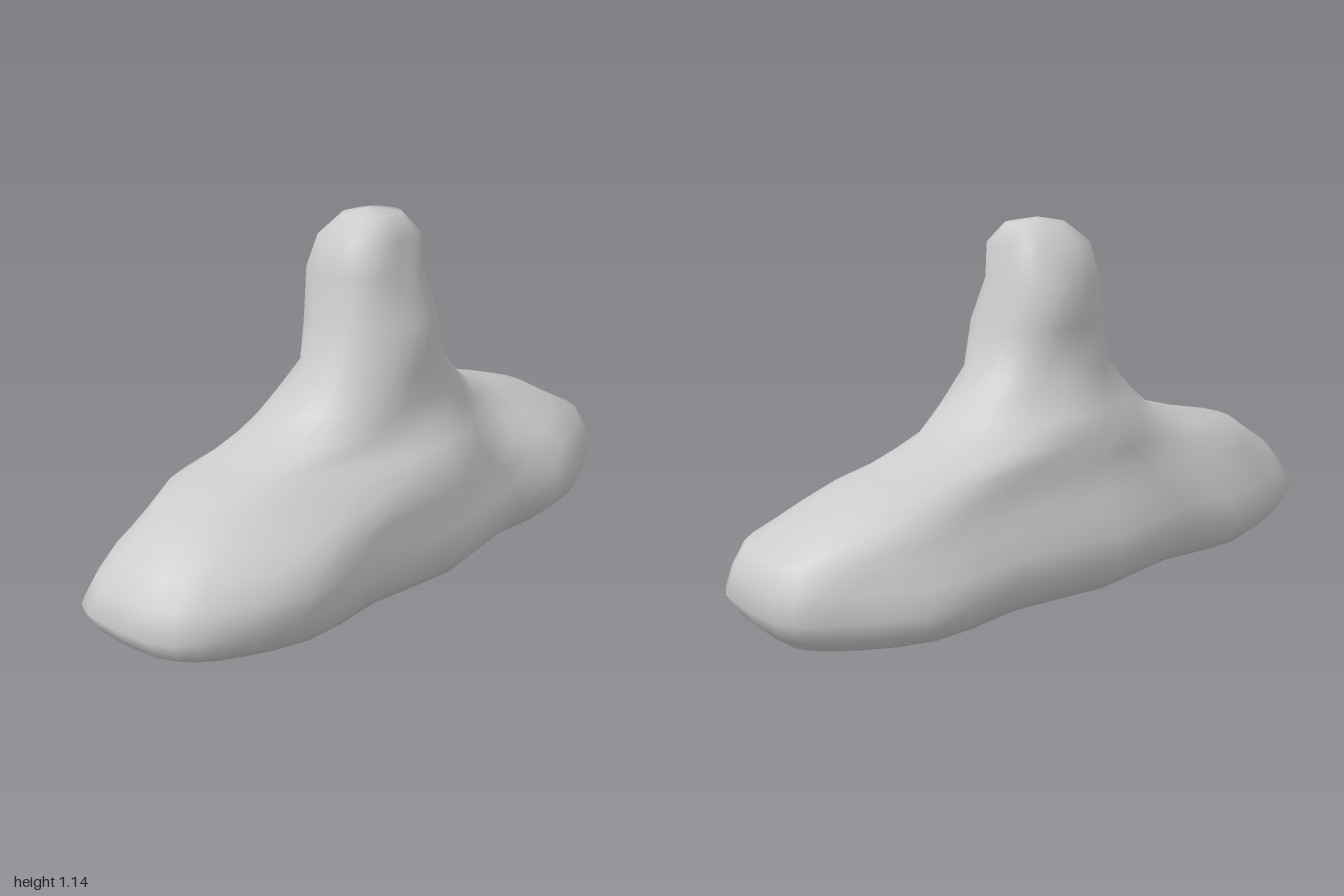
import * as THREE from 'three';

// Horizontal cross-sections: y, xMin, xMax, zMin, zMax, squareness
const SECTIONS = [
  [0.05, 0, 0, -0.78, 0.68, 2.4],
  [0.055, -0.16, 0.17, -0.83, 0.77, 2.8],
  [0.075, -0.285, 0.285, -0.92, 0.89, 3.2],
  [0.12, -0.325, 0.32, -0.965, 0.965, 3.5],
  [0.18, -0.35, 0.345, -1.0, 1.0, 3.4],
  [0.25, -0.335, 0.34, -0.985, 0.965, 3.2],
  [0.32, -0.315, 0.33, -0.96, 0.92, 2.9],
  [0.37, -0.30, 0.32, -0.87, 0.85, 2.6],
  [0.43, -0.285, 0.295, -0.77, 0.76, 2.4],
  [0.475, -0.28, 0.265, -0.63, 0.58, 2.2],
  [0.53, -0.28, 0.235, -0.44, 0.40, 2.1],
  [0.60, -0.25, 0.22, -0.34, 0.32, 2],
  [0.70, -0.18, 0.21, -0.225, 0.24, 2],
  [0.84, -0.18, 0.205, -0.19, 0.20, 2.1],
  [0.97, -0.185, 0.14, -0.15, 0.165, 2.4],
  [1.07, -0.13, 0.14, -0.135, 0.155, 2.6],
  [1.13, -0.075, 0.08, -0.10, 0.08, 2.3],
  [1.145, 0, 0, 0, 0, 2],
];
const FOOT_DEPTH = [0.05, 0.018]; // how far the lowest sections sink at the feet
const SEGMENTS = 36;

const bump = (v, centre, width) => Math.exp(-(((v - centre) / width) ** 2));
const power = (v, n) => Math.sign(v) * Math.abs(v) ** (2 / n);

// One point of a section, with the uneven lobes of the stone
function surfacePoint([y, x0, x1, z0, z1, n], angle, footDepth) {
  const c = power(Math.cos(angle), n);
  const s = power(Math.sin(angle), n);
  let x = c > 0 ? c * x1 : -c * x0;
  const z = s > 0 ? s * z1 : -s * z0;
  // three swellings along the sides of the base
  if (y < 0.5) x *= 1 + 0.07 * Math.cos((z * Math.PI * 2) / 0.58);
  // slight roughness
  x *= 1 + 0.02 * Math.sin(angle * 5 + y * 17);
  // the ends of the base bend in opposite directions
  x -= 0.03 * z ** 3;
  // the ridges of both lobes lean to the right, falling away on the left
  const alongLobe = THREE.MathUtils.smoothstep(Math.abs(z), 0.15, 0.5);
  x -= 0.04 * (1 + c) * alongLobe * bump(y, 0.46, 0.1);
  // two low feet along the keel under the base
  const feet = bump(z, 0.57, 0.17) + bump(z, -0.73, 0.17);
  return [x, y - footDepth * feet, z];
}

function createStoneGeometry() {
  const positions = [];
  const indices = [];
  SECTIONS.forEach((section, r) => {
    for (let j = 0; j < SEGMENTS; j++) {
      const angle = (j / SEGMENTS) * Math.PI * 2;
      positions.push(...surfacePoint(section, angle, FOOT_DEPTH[r] ?? 0));
      if (r === SECTIONS.length - 1) continue;
      const a = r * SEGMENTS + j;
      const b = r * SEGMENTS + ((j + 1) % SEGMENTS);
      indices.push(a, a + SEGMENTS, b, b, a + SEGMENTS, b + SEGMENTS);
    }
  });
  const geometry = new THREE.BufferGeometry();
  geometry.setAttribute('position', new THREE.Float32BufferAttribute(positions, 3));
  geometry.setIndex(indices);
  geometry.computeVertexNormals();
  return geometry;
}

export function createModel() {
  const group = new THREE.Group();
  group.name = 'rockFormation';
  // long base rising into a central pillar, one continuous skin
  const stone = new THREE.Mesh(
    createStoneGeometry(),
    new THREE.MeshStandardMaterial({ color: 0xcccccc })
  );
  stone.name = 'baseAndPillar';
  group.add(stone);
  return group;
}
